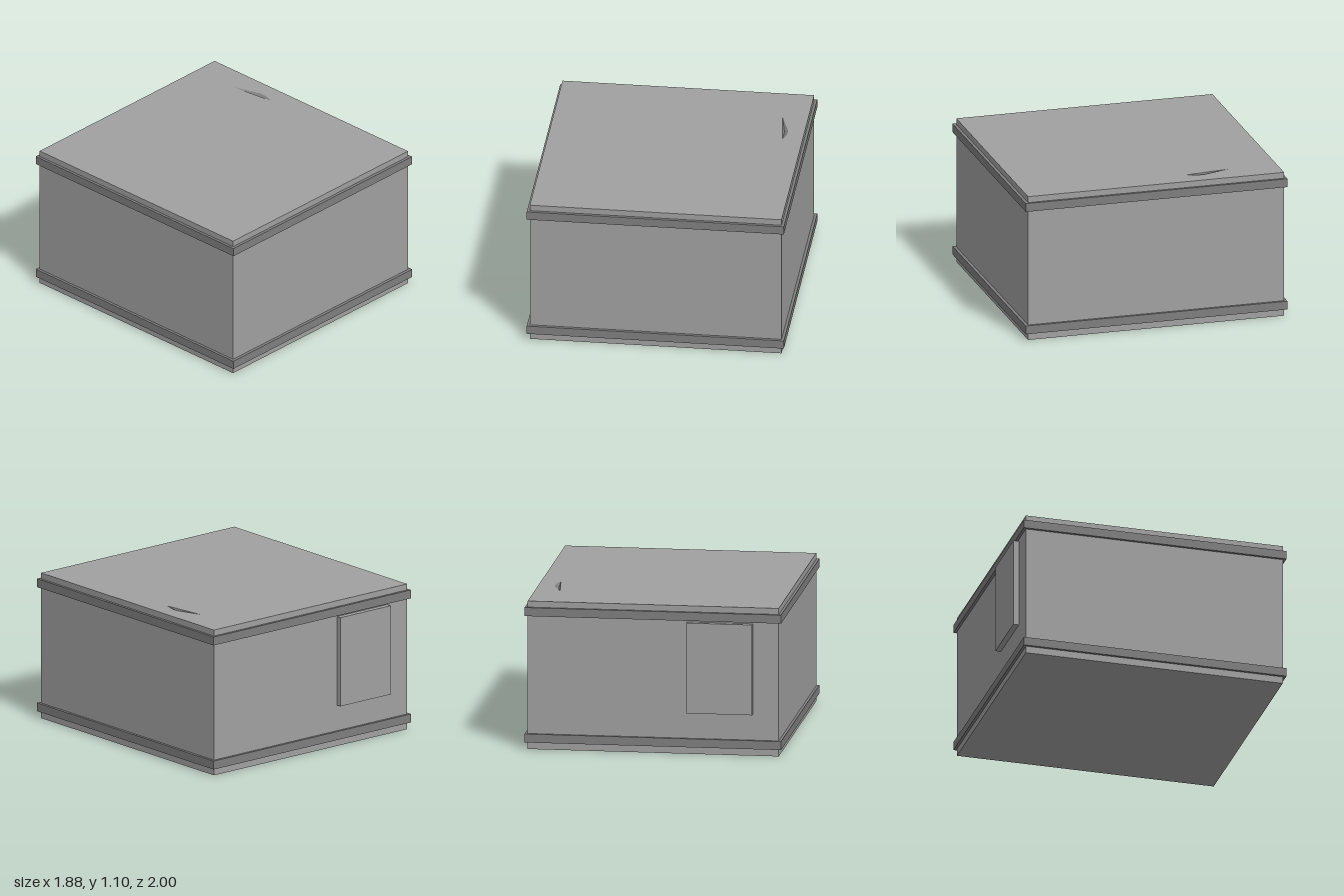
import * as THREE from 'three';

const wallGrey = new THREE.MeshStandardMaterial({ color: 0xa1a1a1, flatShading: true });
const bandGrey = new THREE.MeshStandardMaterial({ color: 0x7f7f7f, flatShading: true });
const dentGrey = new THREE.MeshStandardMaterial({ color: 0x7f7f7f, flatShading: true, side: THREE.DoubleSide });

// Box given by its lower and upper limits on each axis
function block(name, material, [x0, x1], [y0, y1], [z0, z1]) {
  const mesh = new THREE.Mesh(new THREE.BoxGeometry(x1 - x0, y1 - y0, z1 - z0), material);
  mesh.position.set((x0 + x1) / 2, (y0 + y1) / 2, (z0 + z1) / 2);
  mesh.name = name;
  return mesh;
}

export function createModel() {
  const group = new THREE.Group();
  group.name = 'building';

  const lidBase = 1.04, top = 1.098;
  group.add(block('body', wallGrey, [-0.92, 0.92], [0, lidBase], [-0.96, 0.977]));

  // Roof slab with a small sliver-shaped opening (shape y is -z)
  const outline = [[0.735, 0.59], [0.775, 0.26], [0.79, 0.295], [0.8, 0.345], [0.8, 0.39]]
    .map(([x, y]) => new THREE.Vector2(x, y));
  const slab = new THREE.Shape([[-0.92, -0.977], [0.92, -0.977], [0.92, 0.96], [-0.92, 0.96]]
    .map(([x, y]) => new THREE.Vector2(x, y)));
  slab.holes.push(new THREE.Path(outline));
  const roofGeometry = new THREE.ExtrudeGeometry(slab, { depth: top - lidBase, bevelEnabled: false });
  const roof = new THREE.Mesh(roofGeometry.rotateX(-Math.PI / 2), wallGrey);
  roof.position.y = lidBase;
  roof.name = 'roof';
  group.add(roof);

  // Sloping faces of the dent, fanned down to its lowest point
  const corners = [];
  outline.forEach((a, i) => {
    const b = outline[(i + 1) % outline.length];
    corners.push(a.x, top, -a.y, b.x, top, -b.y, 0.772, top - 0.015, -0.4);
  });
  const dentGeometry = new THREE.BufferGeometry();
  dentGeometry.setAttribute('position', new THREE.Float32BufferAttribute(corners, 3));
  dentGeometry.computeVertexNormals();
  const dent = new THREE.Mesh(dentGeometry, dentGrey);
  dent.name = 'roofDent';
  group.add(dent);

  // Projecting bands around the bottom and the top
  group.add(block('lowerBand', bandGrey, [-0.94, 0.94], [0.052, 0.115], [-0.98, 1]));
  group.add(block('upperBand', bandGrey, [-0.94, 0.94], [0.99, 1.053], [-0.98, 1]));

  // Raised panel on the back wall
  group.add(block('backPanel', wallGrey, [-0.73, -0.25], [0.308, 0.978], [-1, -0.95]));

  return group;
}
